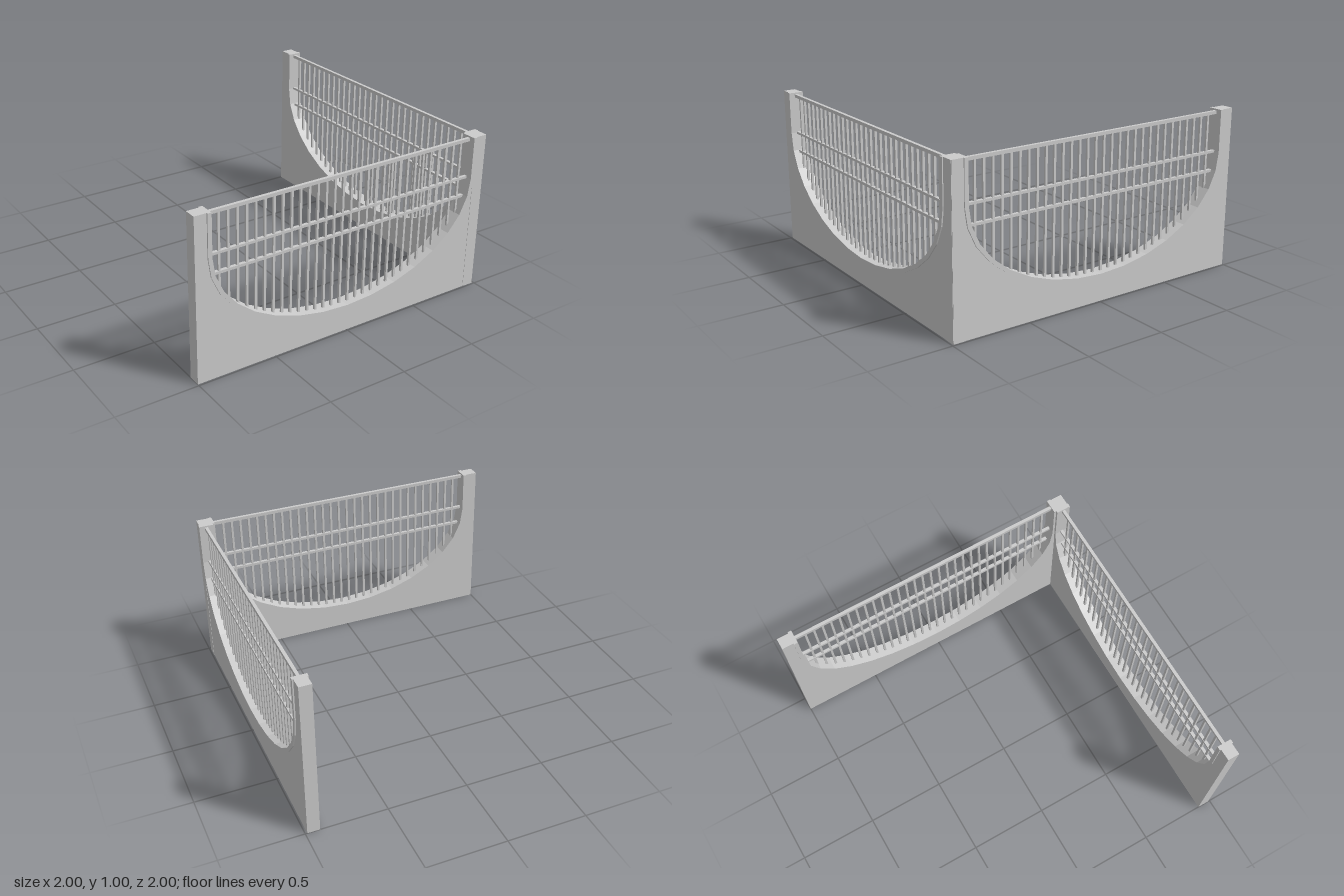
import * as THREE from 'three';

const CX = -0.005;     // middle of the arched opening along the wall
const SPRING = 0.74;   // height where the arch turns vertical
const OUTER = { rx: 0.92, ry: 0.595 };
const INNER = { rx: 0.895, ry: 0.57 };
const material = new THREE.MeshStandardMaterial({ color: 0xcccccc, flatShading: true });

// U-shaped outline: down the left side, round the half ellipse, up the right
function archPoints({ rx, ry }, segments = 16) {
  const pts = [new THREE.Vector2(CX - rx, 1)];
  for (let i = 0; i <= segments; i++) {
    const a = Math.PI + (Math.PI * i) / segments;
    pts.push(new THREE.Vector2(CX + rx * Math.cos(a), SPRING + ry * Math.sin(a)));
  }
  pts.push(new THREE.Vector2(CX + rx, 1));
  return pts;
}

// Height of the faceted inner arch at a given x
function archHeight(x) {
  const pts = archPoints(INNER);
  for (let i = 1; i < pts.length - 2; i++) {
    const a = pts[i], b = pts[i + 1];
    if (x >= a.x && x <= b.x) return a.y + ((b.y - a.y) * (x - a.x)) / (b.x - a.x);
  }
  return SPRING;
}

// Slab of the given thickness, centred on z = 0
function slab(name, points, depth) {
  const geometry = new THREE.ExtrudeGeometry(new THREE.Shape(points), { depth, bevelEnabled: false });
  geometry.translate(0, 0, -depth / 2);
  const mesh = new THREE.Mesh(geometry, material);
  mesh.name = name;
  return mesh;
}

function box(name, w, h, d, x, y) {
  const mesh = new THREE.Mesh(new THREE.BoxGeometry(w, h, d), material);
  mesh.name = name;
  mesh.position.set(x, y, 0);
  return mesh;
}

function createPanel(name) {
  const panel = new THREE.Group();
  panel.name = name;

  // Solid wall with end posts and a scooped-out opening
  const outer = archPoints(OUTER);
  const corners = [[0.99, 1], [0.99, 0], [-1, 0], [-1, 1]].map(([x, y]) => new THREE.Vector2(x, y));
  panel.add(slab('wall', [...outer, ...corners], 0.076));

  // Slightly proud trim lining the opening
  panel.add(slab('archTrim', [...outer, ...archPoints(INNER).reverse()], 0.092));

  // Horizontal rails
  for (const [y, h] of [[0.98, 0.02], [0.74, 0.015], [0.622, 0.016]]) {
    const half = y > SPRING ? INNER.rx : INNER.rx * Math.sqrt(1 - ((SPRING - y) / INNER.ry) ** 2);
    panel.add(box('rail', 2 * half + 0.02, h, 0.02, CX, y));
  }

  // Vertical bars reaching from the arch to the top rail
  const bars = new THREE.Group();
  bars.name = 'bars';
  for (let i = 0; i < 30; i++) {
    const x = CX + (i - 14.5) * 0.0573;
    const bottom = archHeight(x) - 0.01;
    bars.add(box('bar', 0.014, 0.98 - bottom, 0.014, x, (0.98 + bottom) / 2));
  }
  panel.add(bars);
  return panel;
}

export function createModel() {
  const model = new THREE.Group();
  model.name = 'cornerFence';

  const front = createPanel('frontPanel');
  front.position.z = 0.95;

  // Same panel turned so both meet at the front left corner
  const side = createPanel('sidePanel');
  side.rotation.y = -Math.PI / 2;
  side.position.x = 0.95;

  model.add(front, side);
  return model;
}
